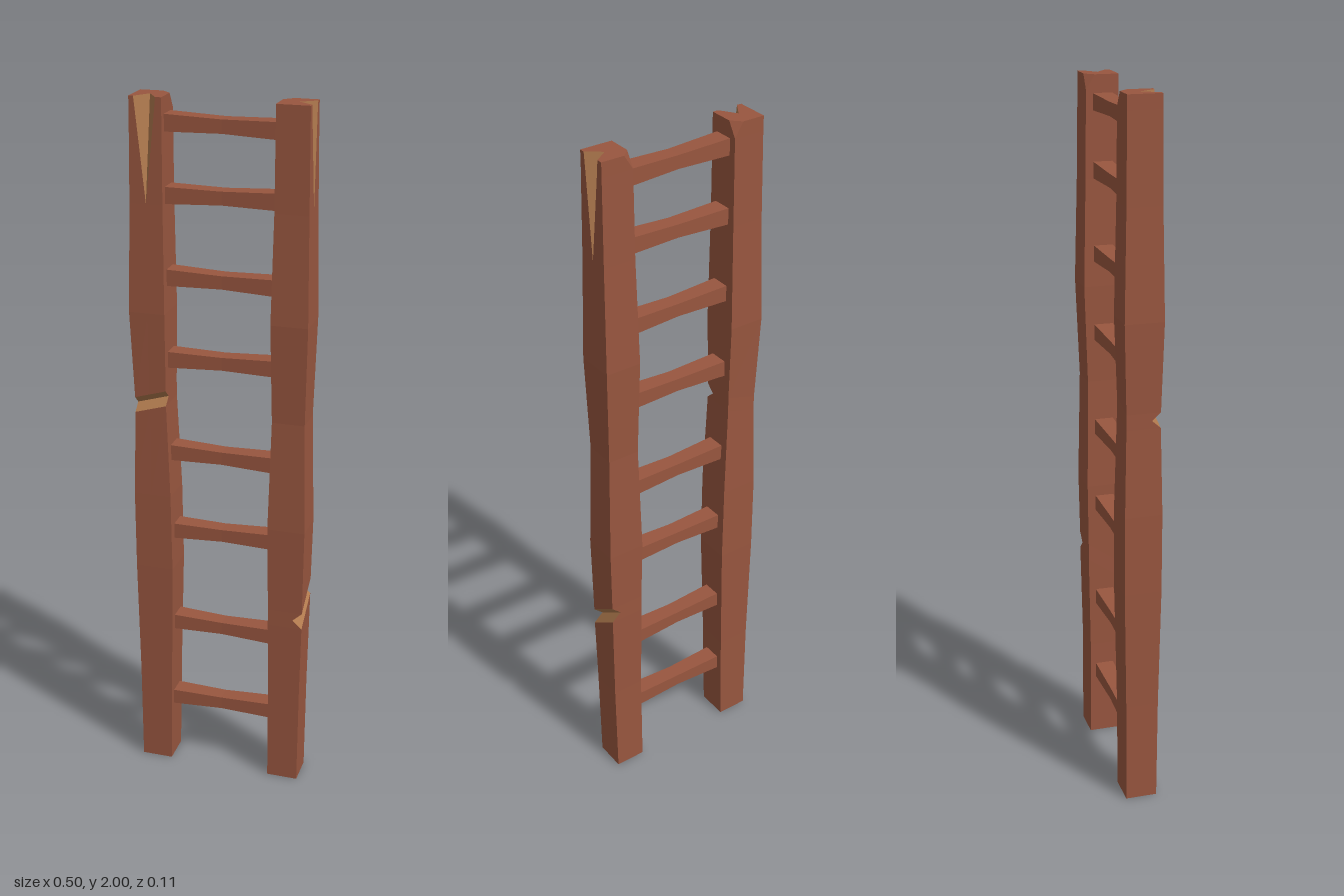
import * as THREE from 'three';

const wood = new THREE.MeshStandardMaterial({ color: 0x98563f });
wood.name = 'redBrownWood';
const rawWood = new THREE.MeshStandardMaterial({ color: 0xb07a4e });
rawWood.name = 'splitWood';

const SPLIT_Y = 1.72; // where the crack in the rail top starts
const CHIP_Y = 1.96; // where the chipped corner starts

function facetedMesh(name, positions, material) {
  const geo = new THREE.BufferGeometry();
  geo.setAttribute('position', new THREE.Float32BufferAttribute(positions, 3));
  geo.computeVertexNormals();
  const mesh = new THREE.Mesh(geo, material);
  mesh.name = name;
  return mesh;
}

// Cross-section of a rail: the front edge (+z) can open into a V, the back right corner can be chipped
function railRing([y, x0, x1, z0, z1, slope = 0]) {
  const open = Math.max(0, (y - SPLIT_Y) / (2 - SPLIT_Y));
  const chip = 0.025 * Math.max(0, (y - CHIP_Y) / (2 - CHIP_Y));
  const w = 0.03 * open;
  return [
    [x0, z1], [-w, z1], [0, z1 * (1 - open)], [w, z1], [x1, z1],
    [x1, z0 + chip], [x1 - chip, z0], [x0, z0],
  ].map(([x, z]) => new THREE.Vector3(x, y + slope * x, z));
}

// Rail lofted through its rings; grooveBand is the index of the first of two groove bands
function makeRail(name, specs, grooveBand) {
  const rings = specs.map(railRing);
  const solid = [], raw = [];
  const tri = (out, a, b, c) => {
    const area = b.clone().sub(a).cross(c.clone().sub(a)).length();
    if (area > 1e-8) out.push(...a.toArray(), ...b.toArray(), ...c.toArray());
  };
  for (let r = 0; r < rings.length - 1; r++) {
    const lo = rings[r], hi = rings[r + 1];
    for (let i = 0; i < 8; i++) {
      const j = (i + 1) % 8;
      const inGroove = (r === grooveBand || r === grooveBand + 1) && i < 4;
      const inSplit = specs[r][0] >= SPLIT_Y && (i === 1 || i === 2);
      const out = inGroove || inSplit ? raw : solid;
      tri(out, lo[i], lo[j], hi[j]);
      tri(out, lo[i], hi[j], hi[i]);
    }
  }
  // End caps fan out from the bottom of the V
  const bottom = rings[0], top = rings[rings.length - 1];
  for (let i = 0; i < 8; i++) {
    const j = (i + 1) % 8;
    tri(solid, top[2], top[i], top[j]);
    tri(solid, bottom[2], bottom[j], bottom[i]);
  }
  const rail = new THREE.Group();
  rail.name = name;
  rail.add(facetedMesh(name + 'Body', solid, wood), facetedMesh(name + 'Cuts', raw, rawWood));
  return rail;
}

// Square rung, thinner in the middle, slightly tilted
function makeRung(y, i) {
  const geo = new THREE.BoxGeometry(0.32, 0.046, 0.054, 2, 1, 1).toNonIndexed();
  const p = geo.attributes.position;
  for (let k = 0; k < p.count; k++) {
    if (Math.abs(p.getX(k)) < 0.01) {
      p.setY(k, p.getY(k) * 0.8);
      p.setZ(k, p.getZ(k) * 0.85);
    }
  }
  geo.computeVertexNormals();
  const rung = new THREE.Mesh(geo, wood);
  rung.name = 'rung' + (i + 1);
  rung.position.set(0, y, 0);
  rung.rotation.z = i % 2 ? -0.012 : 0.012;
  return rung;
}

export function createModel() {
  const ladder = new THREE.Group();
  ladder.name = 'ladder';

  // Rings: y, x min, x max, z back, z front, slope of y along x
  const rightRail = makeRail('rightRail', [
    [0, -0.043, 0.047, -0.045, 0.045],
    [0.3, -0.044, 0.053, -0.046, 0.047],
    [0.65, -0.048, 0.061, -0.052, 0.053],
    [0.88, -0.049, 0.058, -0.052, 0.053],
    [1.14, -0.043, 0.047, -0.047, 0.048, 0.3],
    [1.162, -0.043, 0.047, -0.047, 0.024, 0.3],
    [1.184, -0.043, 0.047, -0.047, 0.048, 0.3],
    [1.42, -0.053, 0.048, -0.055, 0.053],
    [SPLIT_Y, -0.046, 0.046, -0.049, 0.048],
    [CHIP_Y, -0.043, 0.046, -0.047, 0.046],
    [2, -0.043, 0.046, -0.047, 0.046],
  ], 4);
  rightRail.position.x = -0.2;

  const leftRail = makeRail('leftRail', [
    [0, -0.045, 0.045, -0.05, 0.04],
    [0.3, -0.048, 0.043, -0.05, 0.043],
    [0.55, -0.05, 0.048, -0.053, 0.047, 0.7],
    [0.575, -0.05, 0.048, -0.053, 0.02, 0.7],
    [0.6, -0.05, 0.048, -0.053, 0.047, 0.7],
    [0.82, -0.053, 0.051, -0.057, 0.05],
    [1.14, -0.045, 0.046, -0.05, 0.042],
    [1.42, -0.055, 0.056, -0.055, 0.048],
    [SPLIT_Y, -0.048, 0.049, -0.05, 0.043],
    [CHIP_Y, -0.045, 0.046, -0.05, 0.04],
    [2, -0.045, 0.046, -0.05, 0.04],
  ], 2);
  leftRail.position.x = 0.2;
  leftRail.rotation.y = Math.PI / 2; // its cuts face outwards

  ladder.add(rightRail, leftRail);
  [0.208, 0.463, 0.765, 1.005, 1.285, 1.515, 1.743, 1.93].forEach((y, i) => ladder.add(makeRung(y, i)));
  return ladder;
}
